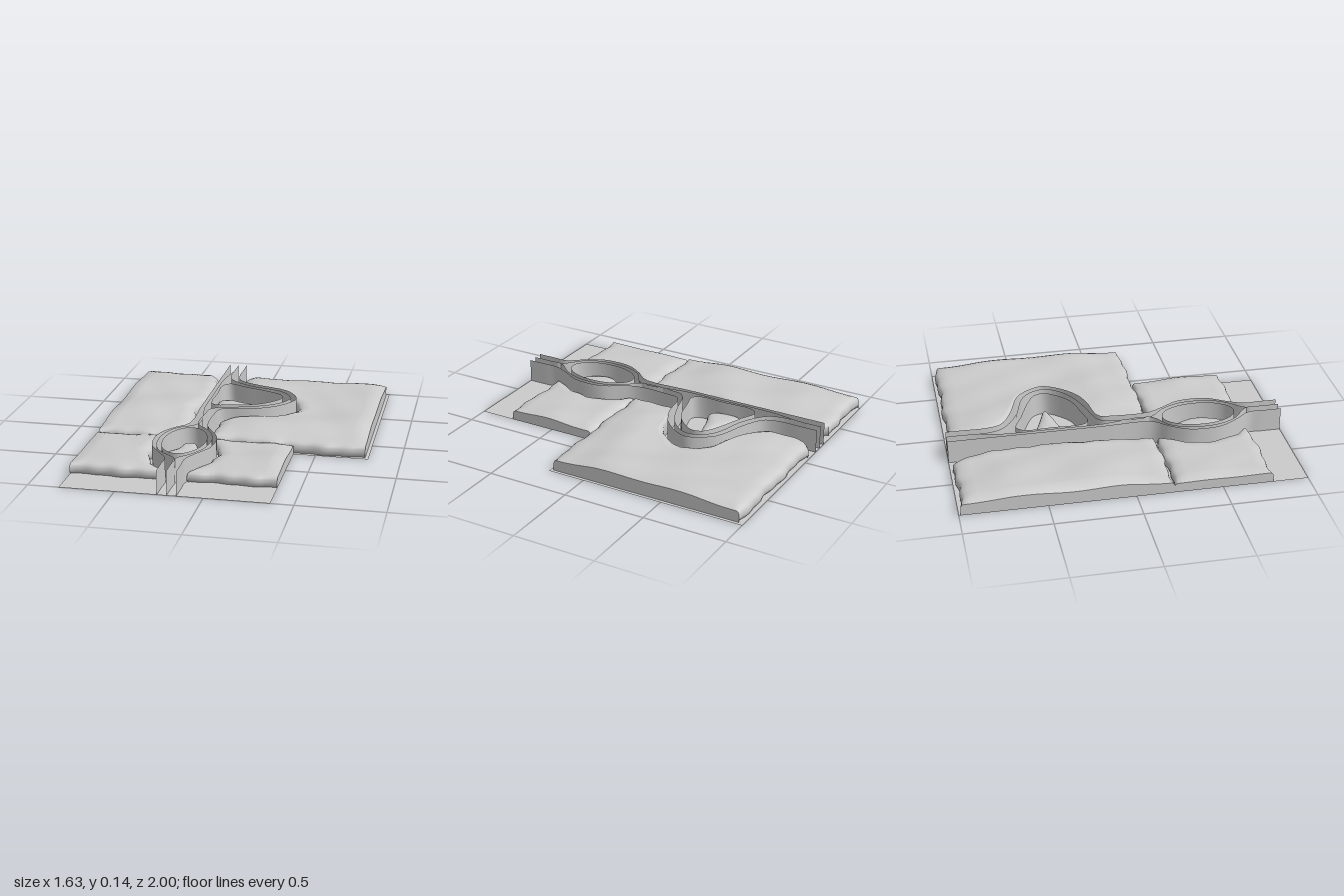
import * as THREE from 'three';
import { toCreasedNormals } from 'three/addons/utils/BufferGeometryUtils.js';

const material = new THREE.MeshStandardMaterial({ color: 0xcccccc, side: THREE.DoubleSide });
const { lerp, smoothstep } = THREE.MathUtils;
const WALL_HEIGHT = 0.143;

function addMesh(group, name, geometry) {
  const mesh = new THREE.Mesh(geometry, material);
  mesh.name = name;
  group.add(mesh);
}

function indexed(positions, index) {
  const g = new THREE.BufferGeometry();
  g.setAttribute('position', new THREE.Float32BufferAttribute(positions, 3));
  g.setIndex(index);
  return toCreasedNormals(g, 0.8);
}

// x of an edge given as [x, z] points sorted by z
function edgeAt(points, z) {
  if (z <= points[0][1]) return points[0][0];
  for (let i = 1; i < points.length; i++) {
    const [x0, z0] = points[i - 1], [x1, z1] = points[i];
    if (z <= z1) return lerp(x0, x1, (z - z0) / (z1 - z0));
  }
  return points[points.length - 1][0];
}

// gentle hills and the small waves of the patch borders
const hills = (x, z) => 0.010 * Math.sin(7 * x + 3 * z) * Math.cos(5 * z - 2 * x)
  + 0.005 * Math.sin(13 * z + 4 * x) + 0.003 * Math.sin(19 * x - 9 * z);
const wave = (t) => 0.006 * Math.sin(17 * t) + 0.004 * Math.sin(41 * t + 1);

// rounded border: [inset, share of full height]
const ROUNDED = [[0.012, 0], [0.002, 0.15], [0, 0.4], [0.002, 0.6], [0.008, 0.75], [0.02, 0.87], [0.045, 0.95]];
const CUT = [[0, 0], [0, 0.8], [0.03, 0.92]];

// stations from 0 to 1 with a border profile at both ends
function stations(length, start, end, count) {
  const list = start.map(([d, f]) => ({ t: d / length, f }));
  for (let i = 0; i <= count; i++) list.push({ t: lerp(0.07 / length, 1 - 0.07 / length, i / count), f: 1 });
  return list.concat(end.map(([d, f]) => ({ t: 1 - d / length, f })).reverse());
}

// pillow-like terrain between two x edges and two z borders
function terrain({ left, right, z0, z1, height, cutLeft, cutRight, hill }) {
  const positions = [], index = [];
  const rows = stations(z1 - z0, ROUNDED, ROUNDED, 44);
  let columns;
  for (const row of rows) {
    const zMid = lerp(z0, z1, row.t);
    const a = edgeAt(left, zMid) + (cutLeft ? 0 : wave(zMid));
    const b = edgeAt(right, zMid) + (cutRight ? 0 : wave(zMid + 2));
    columns = stations(b - a, cutLeft ? CUT : ROUNDED, cutRight ? CUT : ROUNDED, 28);
    for (const c of columns) {
      const x = lerp(a, b, c.t);
      const z = lerp(z0 + wave(x), z1 + wave(x + 1), row.t);
      const inner = smoothstep(Math.min(zMid - z0, z1 - zMid), 0, 0.3);
      const y = (height + hill * inner + hills(x, z) * (0.4 + 0.6 * inner)) * Math.min(c.f, row.f);
      positions.push(x, y, z);
    }
  }
  const n = columns.length;
  for (let j = 0; j < rows.length - 1; j++) {
    for (let i = 0; i < n - 1; i++) {
      const p = j * n + i;
      index.push(p, p + n, p + 1, p + 1, p + n, p + n + 1);
    }
  }
  return indexed(positions, index);
}

// low mound over a closed outline
function mound(outline, height) {
  const curve = new THREE.CatmullRomCurve3(outline.map(([x, z]) => new THREE.Vector3(x, 0, z)), true);
  const n = 40, ring = curve.getPoints(n).slice(0, n);
  const centre = ring.reduce((s, p) => s.add(p), new THREE.Vector3()).divideScalar(n);
  const levels = [[0.97, 0], [1, 0.35], [0.98, 0.65], [0.88, 0.85], [0.65, 0.95], [0.35, 1], [0, 1.03]];
  const positions = [], index = [];
  for (const [s, h] of levels) {
    for (const p of ring) positions.push(lerp(centre.x, p.x, s), h * height, lerp(centre.z, p.z, s));
  }
  for (let l = 0; l < levels.length - 1; l++) {
    for (let i = 0; i < n; i++) {
      const a = l * n + i, b = l * n + (i + 1) % n;
      index.push(a, a + n, b, b, a + n, b + n);
    }
  }
  return indexed(positions, index);
}

// thin upright sheet along [x, z] points
function wall(points, closed = false) {
  const curve = new THREE.CatmullRomCurve3(points.map(([x, z]) => new THREE.Vector3(x, 0, z)), closed, 'centripetal');
  const n = points.length * 3, positions = [], index = [];
  curve.getPoints(n).forEach((p, i) => {
    positions.push(p.x, 0, p.z, p.x, WALL_HEIGHT, p.z);
    if (i < n) index.push(2 * i, 2 * i + 2, 2 * i + 1, 2 * i + 1, 2 * i + 2, 2 * i + 3);
  });
  return indexed(positions, index);
}

export function createModel() {
  const model = new THREE.Group();
  model.name = 'terrainBoard';

  // L-shaped base sheet
  const shape = new THREE.Shape([[-0.82, -1], [0.37, -1], [0.37, -0.23], [0.81, -0.23], [0.81, 1], [-0.82, 1]]
    .map(([x, y]) => new THREE.Vector2(x, y)));
  addMesh(model, 'baseSheet', new THREE.ShapeGeometry(shape).rotateX(-Math.PI / 2));

  // four terrain patches
  const outerLeft = [[-0.82, 0]];
  addMesh(model, 'backRightTerrain', terrain({
    left: outerLeft, z0: -0.98, z1: 0.215, height: 0.083, hill: 0.02, cutLeft: true,
    right: [[-0.36, -0.97], [-0.32, -0.9], [-0.30, -0.75], [-0.28, -0.6], [-0.29, -0.4], [-0.31, -0.2], [-0.30, 0], [-0.31, 0.22]],
  }));
  addMesh(model, 'backLeftTerrain', terrain({
    right: [[0.79, 0]], z0: -0.98, z1: 0.22, height: 0.083, hill: 0.02, cutRight: true,
    left: [[-0.07, -0.98], [-0.13, -0.93], [-0.14, -0.88], [-0.12, -0.82], [-0.13, -0.73], [-0.09, -0.67], [-0.01, -0.61],
      [0.14, -0.56], [0.23, -0.52], [0.28, -0.45], [0.31, -0.36], [0.27, -0.27], [0.2, -0.18], [0.12, -0.14],
      [0.06, -0.12], [-0.04, -0.11], [-0.1, -0.09], [-0.13, -0.04], [-0.14, 0.2]],
  }));
  addMesh(model, 'frontRightTerrain', terrain({
    left: outerLeft, z0: 0.225, z1: 0.79, height: 0.073, hill: 0.008, cutLeft: true,
    right: [[-0.31, 0.24], [-0.35, 0.3], [-0.4, 0.38], [-0.42, 0.5], [-0.4, 0.62], [-0.36, 0.71], [-0.3, 0.77]],
  }));
  addMesh(model, 'frontLeftTerrain', terrain({
    right: [[0.37, 0]], z0: 0.225, z1: 0.785, height: 0.073, hill: 0.008, cutRight: true,
    left: [[-0.14, 0.24], [-0.09, 0.3], [-0.05, 0.38], [-0.03, 0.5], [-0.05, 0.62], [-0.1, 0.7], [-0.15, 0.77]],
  }));

  // islands inside the two loops
  addMesh(model, 'triangularIsland', mound([[-0.23, -0.4], [-0.22, -0.47], [-0.17, -0.49], [-0.09, -0.46], [0.02, -0.42],
    [0.13, -0.38], [0.13, -0.37], [0.04, -0.34], [-0.08, -0.31], [-0.17, -0.28], [-0.21, -0.3]].reverse(), 0.08));
  addMesh(model, 'ovalIsland', mound([[-0.25, 0.3], [-0.2, 0.3], [-0.17, 0.36], [-0.12, 0.48], [-0.13, 0.58], [-0.18, 0.68],
    [-0.22, 0.7], [-0.29, 0.65], [-0.34, 0.55], [-0.33, 0.48], [-0.28, 0.41]].reverse(), 0.07));

  // path sheets: straight side, bulging side, and the centre line that splits at each loop
  const oval = (side, r, neck) => [[neck, 0.8], [-0.22 + side * r * 0.62, 0.7], [-0.22 + side * r * 0.93, 0.6],
    [-0.22 + side * r, 0.5], [-0.22 + side * r * 0.93, 0.4], [-0.22 + side * r * 0.62, 0.3], [neck, 0.21]];
  const bulge = (d, neck) => [[neck, 0], [neck + 0.02, -0.09], [0.05 - d, -0.13 - d * 0.7], [0.17 - d, -0.19 - d * 0.5],
    [0.26 - d, -0.29], [0.29 - d, -0.37], [0.26 - d, -0.45], [0.19 - d, -0.53 + d * 0.5],
    [0.0 - d, -0.6 + d * 0.7], [neck + 0.03, -0.67], [neck, -0.76]];
  const straight = (x) => [[x, -0.09], [x, -0.37], [x, -0.67]];
  const path = (x, ovalPart, backPart) => wall([[x, 1], [x, 0.88], ...ovalPart, ...backPart, [x, -0.88], [x, -1]]);

  addMesh(model, 'rightPathWall', path(-0.26, oval(-1, 0.18, -0.26), straight(-0.26)));
  addMesh(model, 'leftPathWall', path(-0.15, oval(1, 0.18, -0.15), bulge(0, -0.15)));
  addMesh(model, 'centreWallRight', path(-0.205, oval(-1, 0.152, -0.205), straight(-0.235)));
  addMesh(model, 'centreWallLeft', path(-0.205, oval(1, 0.152, -0.205), bulge(0.04, -0.205)));

  // closed walls around the islands
  addMesh(model, 'ovalInnerWall', wall(Array.from({ length: 14 }, (_, i) => {
    const a = i / 14 * Math.PI * 2;
    return [-0.22 + 0.125 * Math.cos(a), 0.5 + 0.22 * Math.sin(a)];
  }), true));
  addMesh(model, 'triangularInnerWall', wall([[-0.215, -0.2], [-0.215, -0.37], [-0.215, -0.55], [-0.17, -0.59], [-0.08, -0.55],
    [0.1, -0.48], [0.18, -0.43], [0.2, -0.37], [0.17, -0.31], [0.07, -0.22], [-0.08, -0.18], [-0.18, -0.16]], true));
  return model;
}
